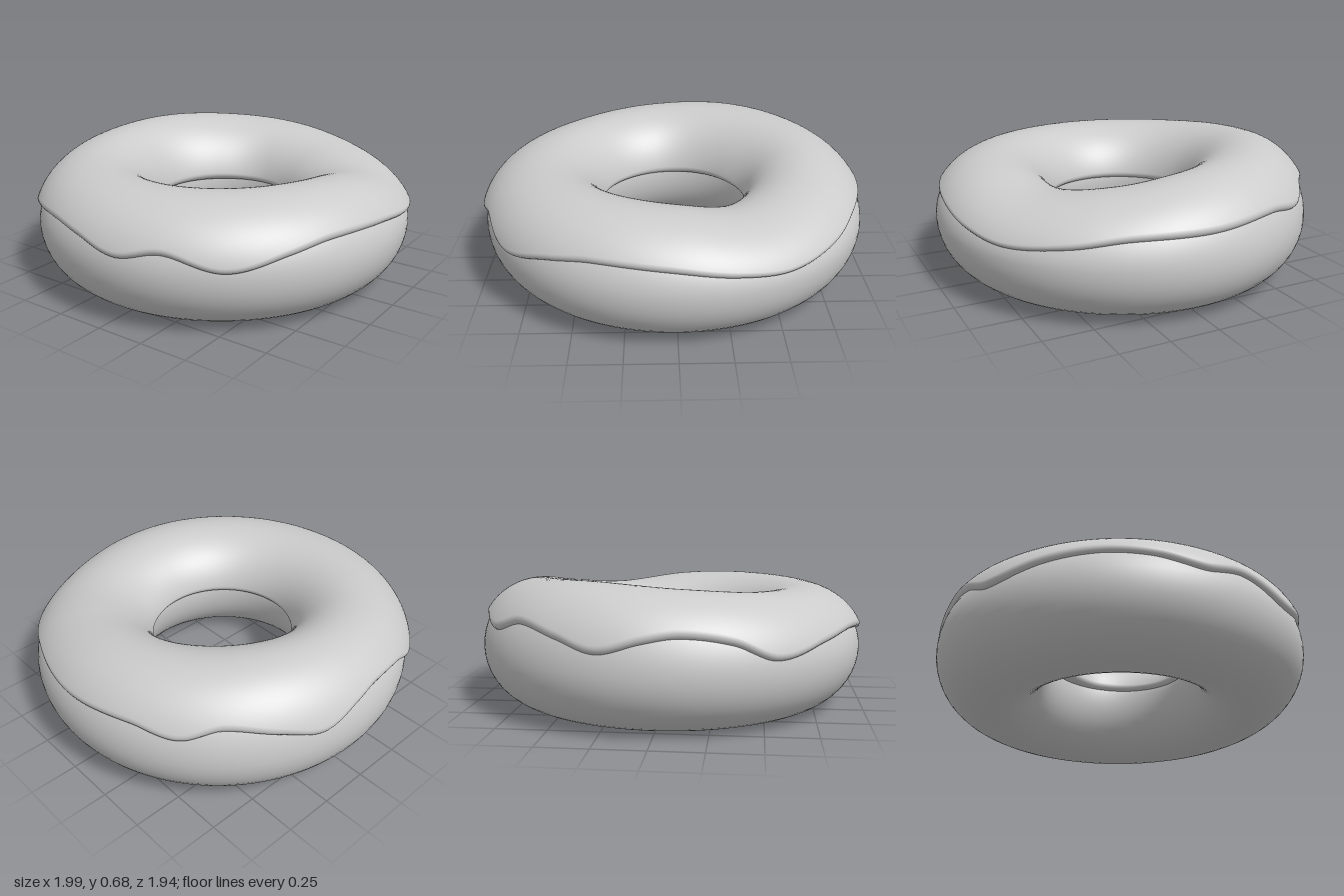
import * as THREE from 'three';

const MID = 0.305;      // height of the widest line of the ring
const RING = 0.68;      // radius of the tube's centre line
const TAU = Math.PI * 2;

// Angles in degrees around y: 0 = +x, 90 = +z (front).
// Height of the icing crest
const CREST = [[0, 0.635], [30, 0.585], [60, 0.55], [90, 0.595], [115, 0.612], [180, 0.612],
  [225, 0.622], [260, 0.652], [295, 0.676], [330, 0.662]];
// Height of the icing's dripping outer edge
const DRIP = [[0, 0.457], [24, 0.447], [40, 0.405], [59, 0.37], [74, 0.395], [93, 0.44], [114, 0.448],
  [127, 0.41], [144, 0.345], [161, 0.415], [174, 0.372], [188, 0.42], [202, 0.44], [218, 0.415],
  [236, 0.365], [248, 0.45], [262, 0.485], [272, 0.46], [284, 0.405], [296, 0.455], [312, 0.5],
  [324, 0.445], [338, 0.475]];
// Icing thickness, swelling slightly where it pools into the hole
const POOL = [[0, 0], [90, 0], [180, 0], [260, 0], [320, 0.03]];

// Smooth periodic interpolation through [degrees, value] keys
function sample(keys, deg) {
  const n = keys.length;
  const key = (i) => {
    const turn = Math.floor(i / n), k = keys[i - turn * n];
    return [k[0] + 360 * turn, k[1]];
  };
  let i = n - 1;
  while (i > 0 && keys[i][0] > deg) i--;
  const [a, b, c, d] = [key(i - 1), key(i), key(i + 1), key(i + 2)];
  const span = c[0] - b[0], t = (deg - b[0]) / span;
  const m0 = (c[1] - a[1]) / (c[0] - a[0]) * span, m1 = (d[1] - b[1]) / (d[0] - b[0]) * span;
  const t2 = t * t, t3 = t2 * t;
  return (2 * t3 - 3 * t2 + 1) * b[1] + (t3 - 2 * t2 + t) * m0 + (3 * t2 - 2 * t3) * c[1] + (t3 - t2) * m1;
}

const toDeg = (theta) => (theta * 180 / Math.PI) % 360;
const ICING = 0.028;
const topHalf = (theta) => sample(CREST, toDeg(theta)) - ICING - MID;

// Point of the ring surface, pushed out by d; phi runs outer -> top -> inner -> bottom
function ringPoint(theta, phi, d) {
  const c = Math.cos(phi), s = Math.sin(phi);
  const r = RING + c * ((c > 0 ? 0.31 : 0.285) + d);
  const y = MID + s * ((s > 0 ? topHalf(theta) : MID) + d);
  return [r * Math.cos(theta), y, r * Math.sin(theta) * 0.978];
}

// Sweep a cross-section around y; point(theta, j) gives its j-th corner
function sweep(name, around, count, closed, point, material) {
  const pos = [], index = [];
  for (let i = 0; i < around; i++)
    for (let j = 0; j < count; j++) pos.push(...point(i / around * TAU, j));
  for (let i = 0; i < around; i++) {
    const row = i * count, next = ((i + 1) % around) * count;
    for (let j = 0; j < (closed ? count : count - 1); j++) {
      const k = (j + 1) % count;
      index.push(row + j, row + k, next + j, next + j, row + k, next + k);
    }
  }
  const geo = new THREE.BufferGeometry();
  geo.setAttribute('position', new THREE.Float32BufferAttribute(pos, 3));
  geo.setIndex(index);
  geo.computeVertexNormals();
  const mesh = new THREE.Mesh(geo, material);
  mesh.name = name;
  return mesh;
}

export function createModel() {
  const group = new THREE.Group();
  group.name = 'icedRing';
  const dough = new THREE.MeshStandardMaterial({ color: 0xcccccc });
  const glaze = new THREE.MeshStandardMaterial({ color: 0xcccccc, side: THREE.DoubleSide });

  // Baked ring
  const RINGS = 48;
  group.add(sweep('dough', 144, RINGS, true, (theta, j) => ringPoint(theta, j / RINGS * TAU, 0), dough));

  // Icing with a rounded lip at the outer and inner edge
  const LIP = 6, BODY = 32, LIP_ANGLE = 0.1, COUNT = LIP * 2 + BODY + 1;
  group.add(sweep('icing', 240, COUNT, false, (theta, j) => {
    const deg = toDeg(theta);
    const rise = (sample(DRIP, deg) - MID) / (topHalf(theta) + ICING);
    const outer = Math.asin(Math.min(0.95, rise));
    const inner = Math.PI - 0.12;
    // Distance from the nearer end, in lip steps
    const end = Math.min(j, COUNT - 1 - j);
    const u = Math.min(1, end / LIP);
    const lip = LIP_ANGLE * (1 - Math.cos(u * Math.PI / 2));
    let phi;
    if (j <= LIP) phi = outer + lip;
    else if (j >= LIP + BODY) phi = inner - lip;
    else phi = THREE.MathUtils.lerp(outer + LIP_ANGLE, inner - LIP_ANGLE, (j - LIP) / BODY);
    const pool = Math.max(0, sample(POOL, deg)) * Math.max(0, -Math.cos(phi)) ** 2;
    const d = -0.004 + (ICING + 0.004 + pool) * Math.sin(u * Math.PI / 2);
    return ringPoint(theta, phi, d);
  }, glaze));

  return group;
}
